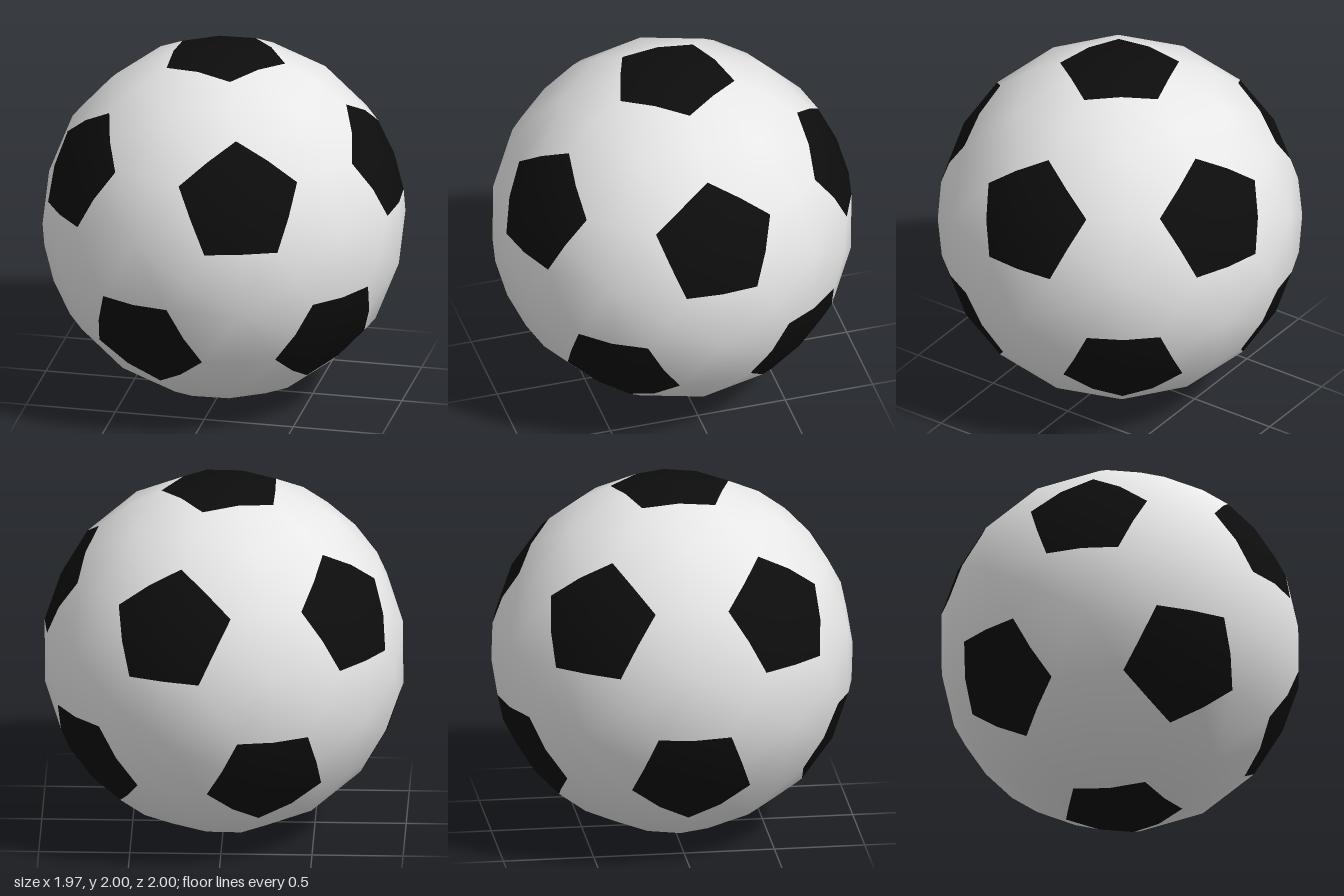
import * as THREE from 'three';

const white = new THREE.MeshStandardMaterial({ color: 0xe7e7e7 });
white.name = 'white leather';
const black = new THREE.MeshStandardMaterial({ color: 0x0d0d0d });
black.name = 'black leather';

// The twelve icosahedron corners: two poles and two staggered rings
function icosahedronCorners() {
  const points = [new THREE.Vector3(0, 1, 0), new THREE.Vector3(0, -1, 0)];
  const h = 1 / Math.sqrt(5);
  for (let i = 0; i < 5; i++) {
    const a = (i * 2 * Math.PI) / 5;
    const b = a + Math.PI / 5;
    points.push(new THREE.Vector3(2 * h * Math.cos(a), h, 2 * h * Math.sin(a)));
    points.push(new THREE.Vector3(2 * h * Math.cos(b), -h, 2 * h * Math.sin(b)));
  }
  return points;
}

// Adds one panel: a fan from its centre over corners and edge midpoints, all on the unit sphere
function addPanel(out, centre, corners) {
  const u = corners[0].clone().projectOnPlane(centre).normalize();
  const v = new THREE.Vector3().crossVectors(centre, u);
  const angle = (p) => Math.atan2(p.dot(v), p.dot(u));
  const ring = [...corners].sort((p, q) => angle(p) - angle(q));
  ring.forEach((p, i) => {
    const q = ring[(i + 1) % ring.length];
    const mid = p.clone().add(q).normalize();
    for (const c of [centre, p, mid, centre, mid, q]) out.push(c.x, c.y, c.z);
  });
}

// Panels share sphere normals, so the ball shades smoothly
function panelMesh(name, data, material) {
  const geometry = new THREE.BufferGeometry();
  geometry.setAttribute('position', new THREE.Float32BufferAttribute(data, 3));
  geometry.setAttribute('normal', new THREE.Float32BufferAttribute(data, 3));
  const mesh = new THREE.Mesh(geometry, material);
  mesh.name = name;
  mesh.position.y = 1;
  return mesh;
}

export function createModel() {
  const group = new THREE.Group();
  group.name = 'football';
  const points = icosahedronCorners();
  const near = (a, b) => a !== b && a.distanceTo(b) < 1.1;
  const cut = (a, b) => a.clone().lerp(b, 1 / 3).normalize();

  // Black pentagon around every icosahedron corner
  points.forEach((p, i) => {
    const data = [];
    addPanel(data, p, points.filter((q) => near(p, q)).map((q) => cut(p, q)));
    group.add(panelMesh(`pentagonPanel${i + 1}`, data, black));
  });

  // White hexagon on every icosahedron face
  const hexagons = [];
  points.forEach((a, i) => points.forEach((b, j) => points.forEach((c, k) => {
    if (i >= j || j >= k || !near(a, b) || !near(b, c) || !near(a, c)) return;
    const centre = a.clone().add(b).add(c).normalize();
    addPanel(hexagons, centre, [cut(a, b), cut(b, a), cut(b, c), cut(c, b), cut(c, a), cut(a, c)]);
  })));
  group.add(panelMesh('hexagonPanels', hexagons, white));
  return group;
}
